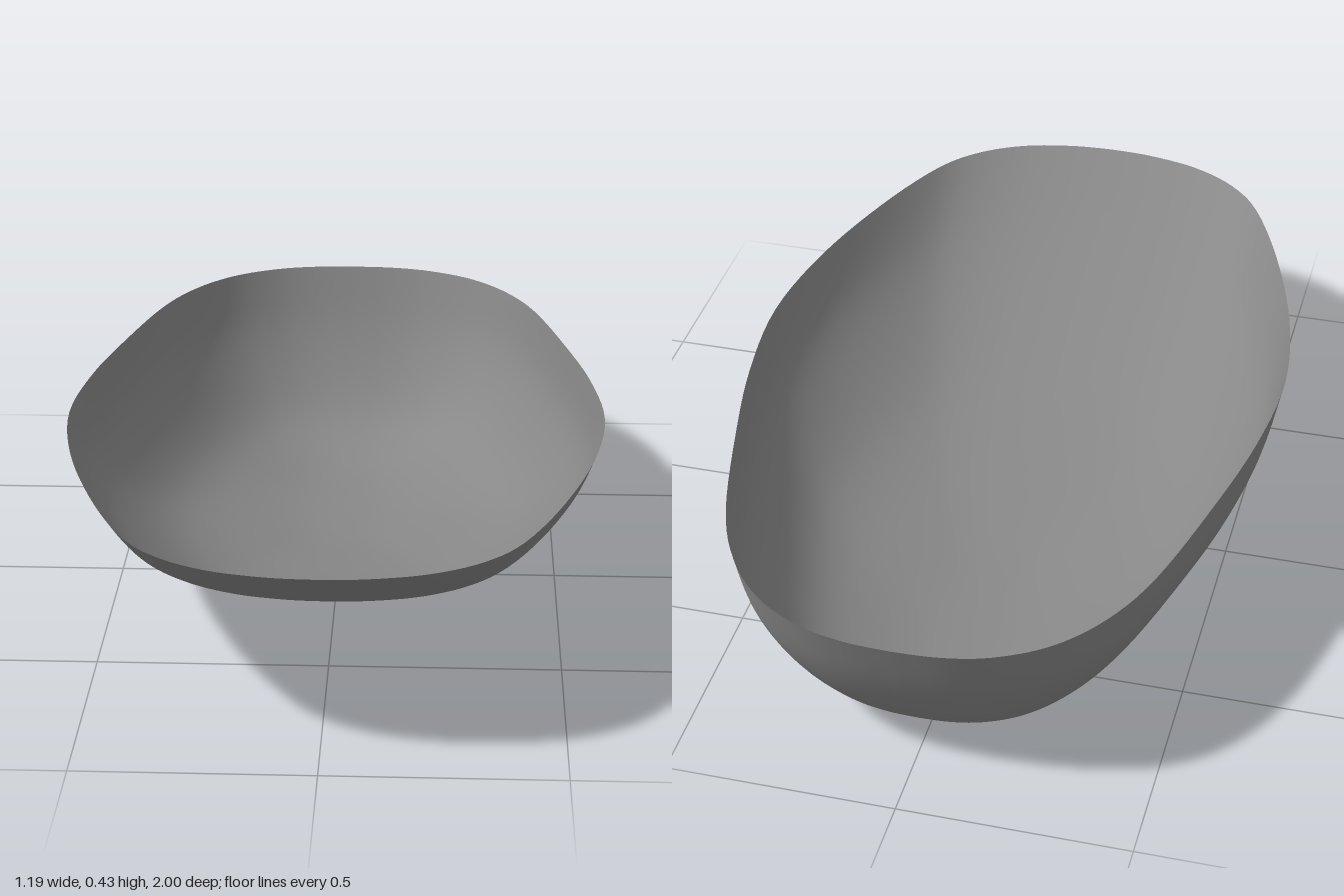
import * as THREE from 'three';
import { mergeVertices } from 'three/addons/utils/BufferGeometryUtils.js';

const spline = (pts) => new THREE.SplineCurve(pts.map(([a, b]) => new THREE.Vector2(a, b)));

// Half of the rim outline: [z, half width]
const RIM_WIDTH = 0.597;
const outline = spline([
  [-1, 0], [-0.994, 0.1], [-0.968, 0.2], [-0.905, 0.305], [-0.8, 0.392], [-0.65, 0.46], [-0.4, 0.525],
  [-0.15, 0.576], [0.1, RIM_WIDTH], [0.35, 0.563], [0.6, 0.49], [0.8, 0.405], [0.9, 0.325],
  [0.963, 0.22], [0.993, 0.1], [1, 0],
]);

// Levels from rim to bottom: [height, back z, front z, half width]
const levels = [
  [0.425, -1, 1, RIM_WIDTH],
  [0.3, -0.952, 0.8, 0.566],
  [0.2, -0.9, 0.605, 0.505],
  [0.115, -0.84, 0.4, 0.423],
  [0.062, -0.78, 0.2, 0.332],
  [0.025, -0.7, -0.02, 0.21],
  [0.005, -0.6, -0.19, 0.1],
  [0, -0.4, -0.4, 0],
];
const ends = spline(levels.map(([, back, front]) => [back, front]));
const side = spline(levels.map(([y, , , width]) => [width, y]));

// Open shell of stacked rings, each the rim outline fitted to its level
function shellGeometry(rings = 56, half = 75) {
  const around = half * 2;
  const positions = [], indices = [];
  for (let i = 0; i <= rings; i++) {
    const { x: back, y: front } = ends.getPoint(i / rings);
    const { x: width, y } = side.getPoint(i / rings);
    for (let j = 0; j < around; j++) {
      const mirror = j <= half ? 1 : -1;
      const p = outline.getPoint((j <= half ? j : around - j) / half);
      positions.push(mirror * p.y * width / RIM_WIDTH, y, THREE.MathUtils.lerp(back, front, (p.x + 1) / 2));
      if (i === rings) continue;
      const a = i * around + j, b = i * around + (j + 1) % around;
      indices.push(a, b, a + around);
      if (i < rings - 1) indices.push(b, b + around, a + around);
    }
  }
  const geometry = new THREE.BufferGeometry();
  geometry.setAttribute('position', new THREE.Float32BufferAttribute(positions, 3));
  geometry.setIndex(indices);
  const merged = mergeVertices(geometry, 1e-5);
  merged.computeVertexNormals();
  return merged;
}

export function createModel() {
  const group = new THREE.Group();
  group.name = 'bowl';
  const material = new THREE.MeshStandardMaterial({ color: 0x888888, side: THREE.DoubleSide });
  const shell = new THREE.Mesh(shellGeometry(), material);
  shell.name = 'shell';
  group.add(shell);
  return group;
}
